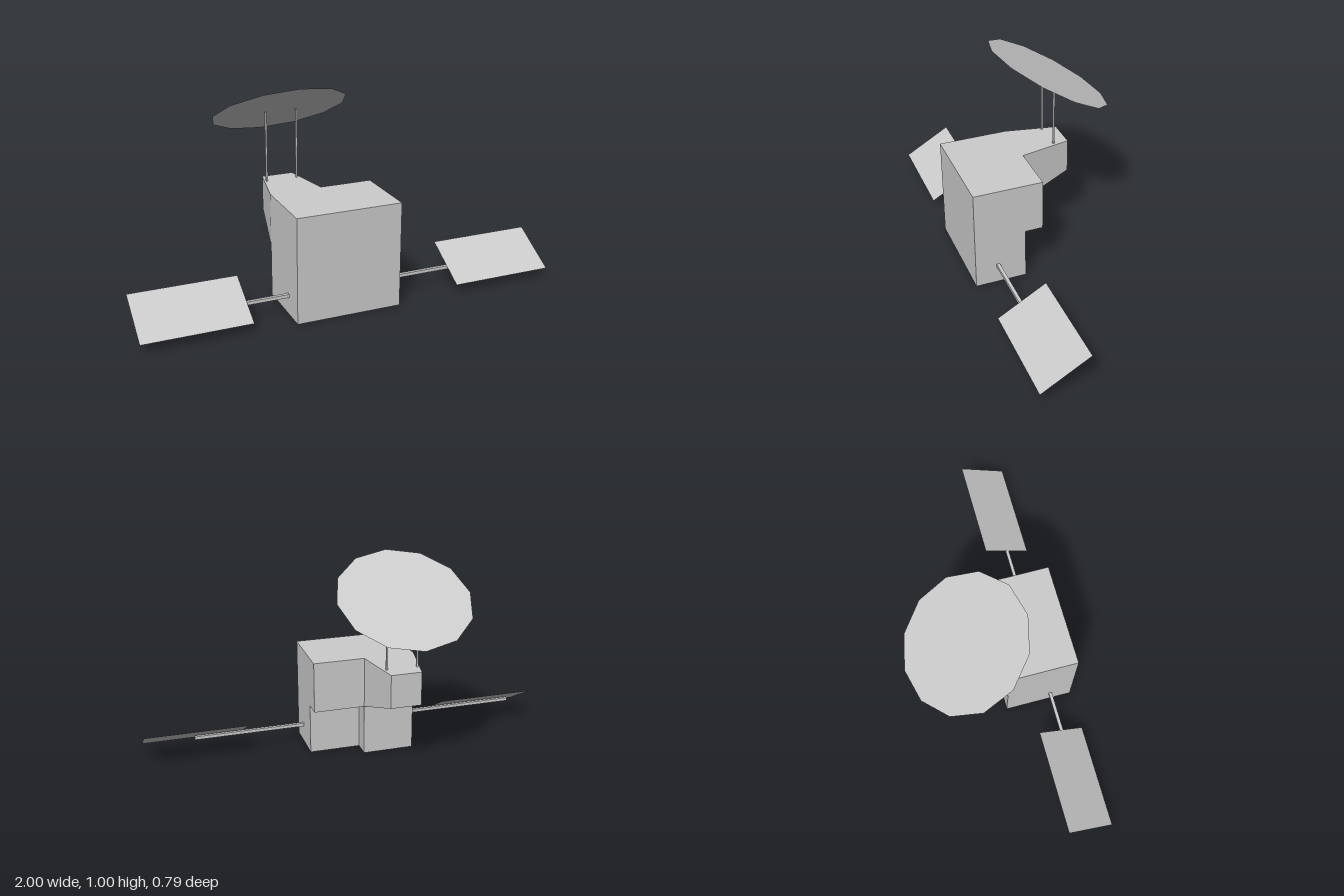
import * as THREE from 'three';

const grey = new THREE.MeshStandardMaterial({ color: 0xcccccc, flatShading: true });
const greyThin = new THREE.MeshStandardMaterial({ color: 0xcccccc, flatShading: true, side: THREE.DoubleSide });

function addPart(group, name, geometry, x = 0, y = 0, z = 0, material = grey) {
  const mesh = new THREE.Mesh(geometry, material);
  mesh.name = name;
  mesh.position.set(x, y, z);
  group.add(mesh);
  return mesh;
}

// Upright prism from a floor plan of [x, z] corners
function prism(plan, height) {
  const shape = new THREE.Shape(plan.map(([x, z]) => new THREE.Vector2(x, -z)));
  return new THREE.ExtrudeGeometry(shape, { depth: height, bevelEnabled: false }).rotateX(-Math.PI / 2);
}

export function createModel() {
  const model = new THREE.Group();
  model.name = 'satellite';
  const front = 0.393, back = 0.06, tailBack = -0.19;

  // Body: lower half has a notch cut from its back corner
  addPart(model, 'lowerBody', prism([
    [-0.3, front], [0.2, front], [0.2, 0.146], [-0.05, 0.146], [-0.05, back], [-0.3, back],
  ], 0.25));
  addPart(model, 'upperBody', prism([
    [-0.3, front], [0.2, front], [0.2, back], [-0.3, back],
  ], 0.25), 0, 0.25, 0);

  // Tail: box narrowing to the back, with a rising underside
  const tail = new THREE.BoxGeometry(0.25, 0.25, back - tailBack);
  const p = tail.attributes.position;
  for (let i = 0; i < p.count; i++) {
    if (p.getZ(i) < 0) {
      p.setX(i, p.getX(i) * 0.6);
      if (p.getY(i) < 0) p.setY(i, -0.04);
    }
  }
  tail.computeVertexNormals();
  addPart(model, 'tail', tail, -0.175, 0.375, (back + tailBack) / 2);

  // Dish on two posts, facing up and back
  for (const x of [-0.253, -0.103]) {
    addPart(model, 'dishPost', new THREE.BoxGeometry(0.008, 0.335, 0.008), x, 0.6675, -0.116);
  }
  const dish = addPart(model, 'dish', new THREE.CircleGeometry(0.32, 12), -0.185, 0.84, -0.12, greyThin);
  dish.rotation.x = -Math.PI * 2 / 3;

  // Side panels tilted to the front, each carried on a rod
  for (const [side, inner, outer] of [['left', 0.2, 0.75], ['right', -0.3, -0.92]]) {
    const length = Math.abs(outer - inner);
    addPart(model, side + 'Rod', new THREE.BoxGeometry(length, 0.016, 0.016), (inner + outer) / 2, 0.093, 0.283);
    const panel = addPart(model, side + 'Panel', new THREE.PlaneGeometry(0.5, 0.264),
      Math.sign(outer) * 0.75, 0.111, 0.279, greyThin);
    panel.rotation.x = -Math.PI / 3;
  }
  return model;
}
